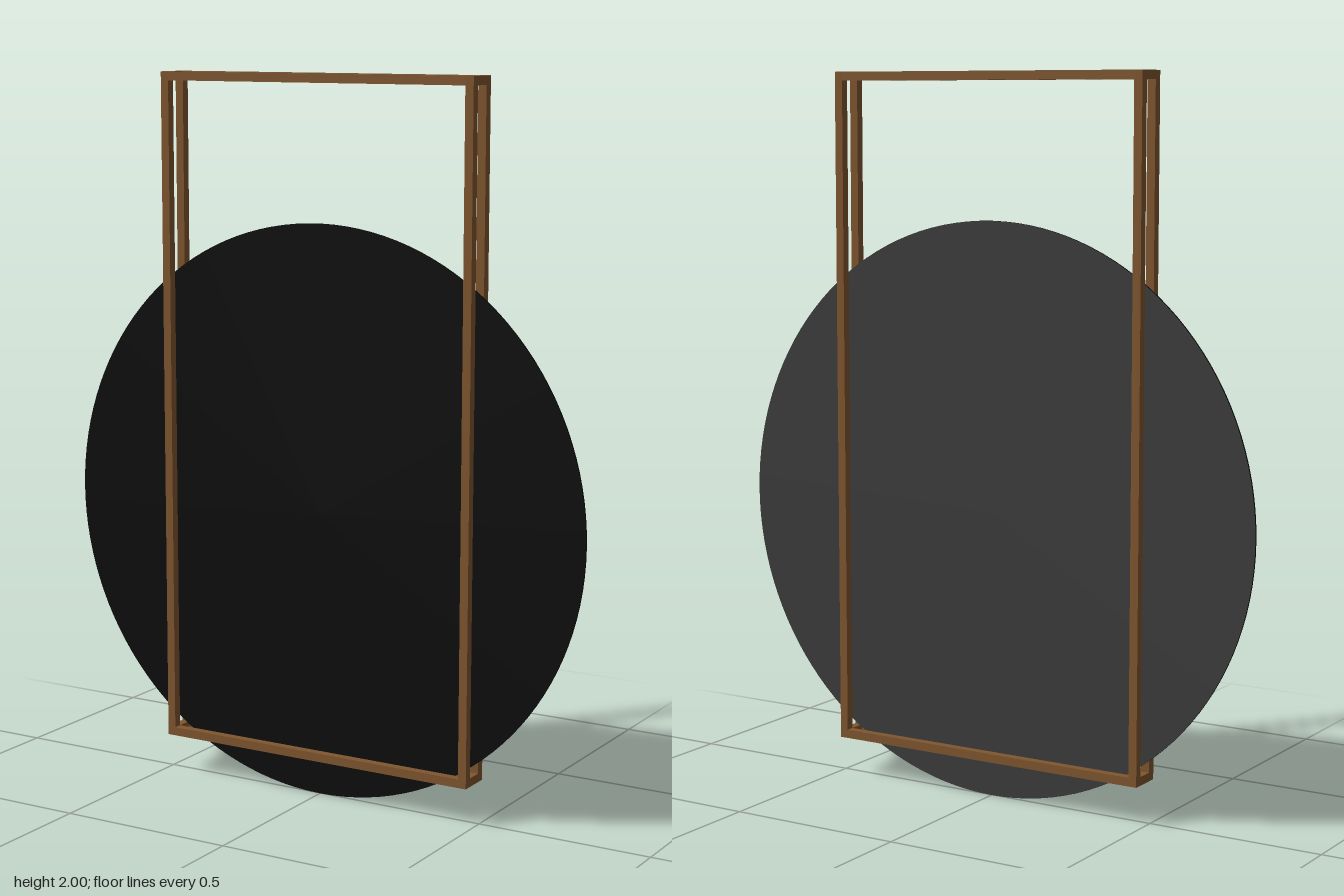
import * as THREE from 'three';

export function createModel() {
  const model = new THREE.Group();
  const wood = new THREE.MeshStandardMaterial({ color: 0x80562f });
  const black = new THREE.MeshStandardMaterial({ color: 0x0c0c0c });
  const grey = new THREE.MeshStandardMaterial({ color: 0x3c3c3c });

  // Outer limits of the open box frame and its bar thickness
  const X = 0.483, Z = 0.048, Y0 = 0.108, Y1 = 2, T = 0.024;
  const cx = X - T / 2, cz = Z - T / 2;

  const frame = new THREE.Group();
  frame.name = 'frame';
  model.add(frame);
  const bar = (name, w, h, d, x, y, z) => {
    const mesh = new THREE.Mesh(new THREE.BoxGeometry(w, h, d), wood);
    mesh.name = name;
    mesh.position.set(x, y, z);
    frame.add(mesh);
  };

  // Four posts, four long rails, four short cross pieces
  for (const s of [-1, 1]) {
    const y = s < 0 ? Y0 + T / 2 : Y1 - T / 2;
    for (const t of [-1, 1]) {
      bar('post', T, Y1 - Y0, T, s * cx, (Y0 + Y1) / 2, t * cz);
      bar('rail', 2 * (X - T), T, T, 0, y, t * cz);
      bar('crossPiece', T, T, 2 * (Z - T), t * cx, y, 0);
    }
  }

  // Thin round panel held between the rails: black front and rim, grey back
  const R = 0.8, thick = 0.006;
  const panel = new THREE.Mesh(
    new THREE.CylinderGeometry(R, R, thick, 128).rotateX(Math.PI / 2),
    [black, black, grey] // rim, front, back
  );
  panel.name = 'roundPanel';
  panel.position.y = R;
  model.add(panel);

  return model;
}
